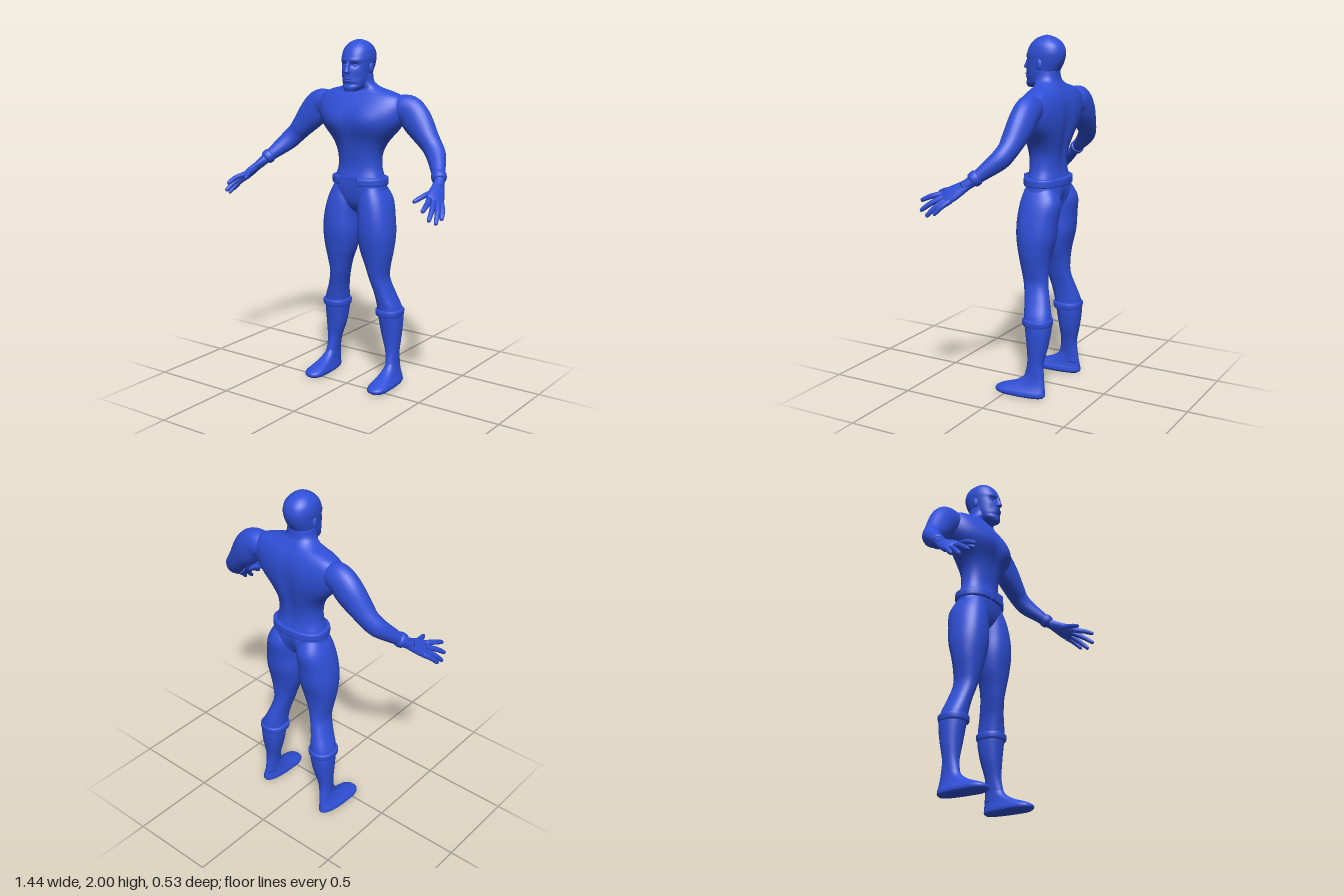
import * as THREE from 'three';

const V = (x, y, z) => new THREE.Vector3(x, y, z);
const bump = (d, w) => Math.exp(-(d * d) / (w * w));

// Smoothly resample a list of numeric cross-sections
function resample(rows, n) {
  const out = [];
  for (let i = 0; i < rows.length - 1; i++) {
    const a = rows[Math.max(i - 1, 0)], b = rows[i], c = rows[i + 1], d = rows[Math.min(i + 2, rows.length - 1)];
    for (let k = 0; k < n; k++) {
      const t = k / n;
      out.push(b.map((_, j) => b[j] + 0.5 * t * (c[j] - a[j] + t * (2 * a[j] - 5 * b[j] + 4 * c[j] - d[j] + t * (3 * (b[j] - c[j]) + d[j] - a[j])))));
    }
  }
  out.push(rows[rows.length - 1]);
  return out;
}

// Closed smooth skin over rings of points
function loft(rings) {
  const n = rings[0].length;
  const mid = r => r.reduce((s, p) => s.add(p), V(0, 0, 0)).divideScalar(n);
  const pts = rings.flat(), idx = [];
  for (let i = 0; i < rings.length - 1; i++) {
    for (let j = 0; j < n; j++) {
      const a = i * n + j, b = i * n + (j + 1) % n;
      idx.push(a, a + n, b, b, a + n, b + n);
    }
  }
  const c0 = pts.push(mid(rings[0])) - 1, c1 = pts.push(mid(rings[rings.length - 1])) - 1;
  const last = (rings.length - 1) * n;
  for (let j = 0; j < n; j++) {
    const k = (j + 1) % n;
    idx.push(c0, j, k, c1, last + k, last + j);
  }
  // Turn the faces outward by the sign of the volume
  let vol = 0;
  const cross = V(0, 0, 0);
  for (let i = 0; i < idx.length; i += 3) vol += pts[idx[i]].dot(cross.crossVectors(pts[idx[i + 1]], pts[idx[i + 2]]));
  if (vol < 0) idx.reverse();
  const g = new THREE.BufferGeometry().setFromPoints(pts);
  g.setIndex(idx);
  g.computeVertexNormals();
  return g;
}

// Horizontal sections: [y, xMin, xMax, zFront, zBack, zWidest]
function body(rows, { n = 5, p = 0.88, shape } = {}) {
  return loft(resample(rows, n).map(([y, x0, x1, zf, zb, zm]) => {
    const ring = [];
    for (let j = 0; j < 48; j++) {
      const a = j / 48 * Math.PI * 2, c = Math.cos(a), s = Math.sin(a);
      const q = V((x0 + x1) / 2 + (x1 - x0) / 2 * Math.sign(c) * Math.abs(c) ** p, y,
        zm + (s > 0 ? zf - zm : zm - zb) * Math.sign(s) * Math.abs(s) ** p);
      if (shape) shape(q, s);
      ring.push(q);
    }
    return ring;
  }));
}

// Sections along a path: [x, y, z, radiusAcross, radiusDeep]
function limb(rows, { n = 4, sides = 24, across } = {}) {
  const rs = resample(rows, n), at = i => V(rs[i][0], rs[i][1], rs[i][2]);
  return loft(rs.map((r, i) => {
    const t = at(Math.min(i + 1, rs.length - 1)).sub(at(Math.max(i - 1, 0))).normalize();
    const w = across ? V(0, 0, 0).crossVectors(t, across).normalize() : null;
    const u = w ? V(0, 0, 0).crossVectors(w, t) : V(0, 0, 0).crossVectors(t, V(0, 0, 1)).normalize();
    const v = V(0, 0, 0).crossVectors(t, u);
    return Array.from({ length: sides }, (_, j) => {
      const a = j / sides * Math.PI * 2;
      return at(i).addScaledVector(u, Math.cos(a) * r[3]).addScaledVector(v, Math.sin(a) * r[4]);
    });
  }));
}

function mirrored(g) {
  const m = g.clone().scale(-1, 1, 1);
  m.setIndex(Array.from(m.index.array).reverse());
  m.computeVertexNormals();
  return m;
}

const ball = (x, y, z, rx, ry, rz) => new THREE.SphereGeometry(1, 20, 14).scale(rx, ry, rz).translate(x, y, z);

export function createModel() {
  const model = new THREE.Group();
  const blue = new THREE.MeshStandardMaterial({ color: 0x2f50d8 });
  blue.name = 'blue';
  const add = (name, g) => {
    const m = new THREE.Mesh(g, blue);
    m.name = name;
    model.add(m);
  };
  const pair = (name, g) => {
    add('left' + name, g);
    add('right' + name, mirrored(g));
  };
  const sym = ([y, rx, zf, zb, zm]) => [y, -rx, rx, zf, zb, zm];

  // Torso with chest, spine groove and buttock cleft
  add('torso', body([
    [1.015, 0.025, -0.1, -0.18, -0.14], [1.06, 0.09, -0.06, -0.225, -0.14], [1.12, 0.16, -0.04, -0.245, -0.14],
    [1.2, 0.16, -0.035, -0.24, -0.14], [1.28, 0.136, -0.05, -0.225, -0.14], [1.36, 0.138, -0.045, -0.23, -0.14],
    [1.43, 0.172, -0.032, -0.245, -0.15], [1.5, 0.235, -0.01, -0.258, -0.16], [1.55, 0.27, -0.004, -0.263, -0.165],
    [1.6, 0.285, -0.012, -0.263, -0.17], [1.65, 0.285, -0.035, -0.255, -0.17], [1.69, 0.26, -0.062, -0.24, -0.165],
    [1.715, 0.2, -0.08, -0.225, -0.16], [1.735, 0.125, -0.08, -0.215, -0.15], [1.765, 0.085, -0.062, -0.2, -0.13],
    [1.81, 0.078, -0.05, -0.195, -0.12],
  ].map(sym), {
    shape: (q, s) => {
      if (s > 0) q.z += s * (0.012 * bump(Math.abs(q.x) - 0.11, 0.07) * bump(q.y - 1.55, 0.06) - 0.008 * bump(q.x, 0.02) * bump(q.y - 1.53, 0.1));
      else q.z -= s * (0.018 * bump(q.x, 0.025) * bump(q.y - 1.5, 0.17) + 0.03 * bump(q.x, 0.03) * bump(q.y - 1.08, 0.07));
    },
  }));

  // Head: brow, eye sockets, cheeks and mouth are pushed in or out
  add('head', body([
    [1.718, 0.03, -0.012, -0.07, -0.04], [1.74, 0.058, -0.006, -0.13, -0.08], [1.78, 0.072, -0.006, -0.175, -0.1],
    [1.83, 0.079, -0.01, -0.208, -0.11], [1.87, 0.084, -0.014, -0.225, -0.12], [1.91, 0.086, -0.018, -0.23, -0.125],
    [1.95, 0.077, -0.036, -0.217, -0.125], [1.98, 0.053, -0.066, -0.185, -0.125], [1.995, 0.024, -0.1, -0.15, -0.125],
    [2.0, 0.004, -0.12, -0.13, -0.125],
  ].map(sym), {
    n: 8,
    shape: (q, s) => {
      if (s > 0) q.z += s * (0.006 * bump(q.y - 1.888, 0.012) - 0.014 * bump(Math.abs(q.x) - 0.035, 0.02) * bump(q.y - 1.862, 0.014)
        - 0.008 * bump(Math.abs(q.x) - 0.05, 0.02) * bump(q.y - 1.79, 0.03) - 0.007 * bump(q.y - 1.757, 0.009));
    },
  }));
  add('nose', body([
    [1.815, -0.012, 0.012, 0, -0.03, -0.02], [1.824, -0.018, 0.018, 0.015, -0.03, -0.015],
    [1.845, -0.012, 0.012, 0.008, -0.03, -0.015], [1.885, -0.008, 0.008, -0.008, -0.03, -0.02],
  ]));
  add('upperLip', ball(0, 1.789, -0.008, 0.026, 0.006, 0.011));
  add('lowerLip', ball(0, 1.776, -0.008, 0.022, 0.006, 0.01));
  pair('Eye', ball(0.034, 1.861, -0.034, 0.014, 0.008, 0.011));
  pair('Ear', ball(0.083, 1.845, -0.122, 0.01, 0.03, 0.017));

  // Belt and buckle
  const belt = (y, g) => [y, -0.168 - g, 0.168 + g, -0.024 + g, -0.25 - g, -0.14];
  add('belt', body([belt(1.183, -0.006), belt(1.187, 0.003), belt(1.205, 0.004), belt(1.225, 0.003), belt(1.23, -0.006)], { n: 3 }));
  add('buckle', new THREE.BoxGeometry(0.105, 0.058, 0.02).translate(0, 1.207, -0.02));

  // Legs from hip to ankle
  pair('Leg', body([
    [1.18, 0.03, 0.155, -0.055, -0.22, -0.14], [1.1, 0.012, 0.194, -0.032, -0.26, -0.14], [1, 0.014, 0.218, -0.02, -0.25, -0.13],
    [0.9, 0.012, 0.228, -0.02, -0.24, -0.13], [0.8, 0.03, 0.22, -0.035, -0.215, -0.13], [0.72, 0.06, 0.203, -0.05, -0.205, -0.13],
    [0.64, 0.085, 0.192, -0.066, -0.207, -0.135], [0.55, 0.11, 0.217, -0.085, -0.23, -0.15], [0.47, 0.12, 0.25, -0.097, -0.25, -0.165],
    [0.4, 0.123, 0.26, -0.106, -0.254, -0.18], [0.3, 0.14, 0.256, -0.119, -0.24, -0.18], [0.2, 0.17, 0.247, -0.125, -0.22, -0.175],
    [0.12, 0.184, 0.246, -0.11, -0.226, -0.17], [0.07, 0.185, 0.25, -0.1, -0.23, -0.17],
  ]));
  const cuff = (y, g) => [y, 0.114 - g, 0.262 + g, -0.096 + g, -0.253 - g, -0.17];
  pair('BootCuff', body([cuff(0.415, -0.004), cuff(0.42, 0.004), cuff(0.45, 0.006), cuff(0.456, -0.005)], { n: 3 }));
  pair('Foot', body([
    [0, 0.178, 0.27, 0.055, -0.225, -0.02], [0.012, 0.166, 0.283, 0.07, -0.238, -0.02], [0.03, 0.166, 0.283, 0.066, -0.238, -0.02],
    [0.048, 0.173, 0.272, 0.03, -0.236, -0.05], [0.075, 0.18, 0.258, -0.045, -0.232, -0.1], [0.11, 0.184, 0.248, -0.1, -0.227, -0.15],
    [0.15, 0.186, 0.244, -0.122, -0.22, -0.17],
  ], { p: 0.85 }));

  // Arms from inside the shoulder to the wrist
  pair('Arm', limb([
    [0.2, 1.615, -0.16, 0.06, 0.055], [0.26, 1.625, -0.168, 0.078, 0.066], [0.312, 1.61, -0.172, 0.088, 0.066],
    [0.365, 1.553, -0.168, 0.088, 0.068], [0.435, 1.472, -0.155, 0.066, 0.06], [0.47, 1.433, -0.147, 0.059, 0.053],
    [0.51, 1.388, -0.122, 0.056, 0.05], [0.56, 1.328, -0.058, 0.042, 0.038], [0.6, 1.28, -0.005, 0.029, 0.03],
    [0.617, 1.252, 0.03, 0.026, 0.028],
  ]));
  pair('WristCuff', limb([
    [0.576, 1.309, -0.037, 0.033, 0.033], [0.58, 1.305, -0.032, 0.042, 0.041],
    [0.594, 1.288, -0.013, 0.04, 0.039], [0.598, 1.283, -0.008, 0.029, 0.029],
  ]));

  // Hands: palm, four fingers and thumb
  const across = V(0.41, -0.3, -0.86), knuckle = V(0.645, 1.197, 0.112);
  pair('Palm', limb([
    [0.6, 1.28, -0.005, 0.028, 0.024], [0.617, 1.25, 0.035, 0.038, 0.023], [0.633, 1.22, 0.08, 0.05, 0.023],
    [0.645, 1.197, 0.115, 0.05, 0.019], [0.65, 1.189, 0.126, 0.042, 0.012],
  ], { across }));
  const finger = (a, b) => {
    const m = a.clone().lerp(b, 0.5).add(V(0.006, 0.006, 0));
    const e = a.clone().lerp(b, 0.93);
    return limb([[...a, 0.016, 0.016], [...m, 0.0145, 0.0145], [...e, 0.011, 0.011], [...b, 0.003, 0.003]], { sides: 12 });
  };
  const tips = [V(0.66, 1.168, 0.265), V(0.69, 1.12, 0.25), V(0.706, 1.097, 0.205), V(0.711, 1.112, 0.155)];
  tips.forEach((tip, i) => pair('Finger' + (i + 1), finger(knuckle.clone().addScaledVector(across, (i - 1.5) * 0.026), tip)));
  pair('Thumb', finger(V(0.61, 1.237, 0.075), V(0.572, 1.2, 0.21)));

  return model;
}
